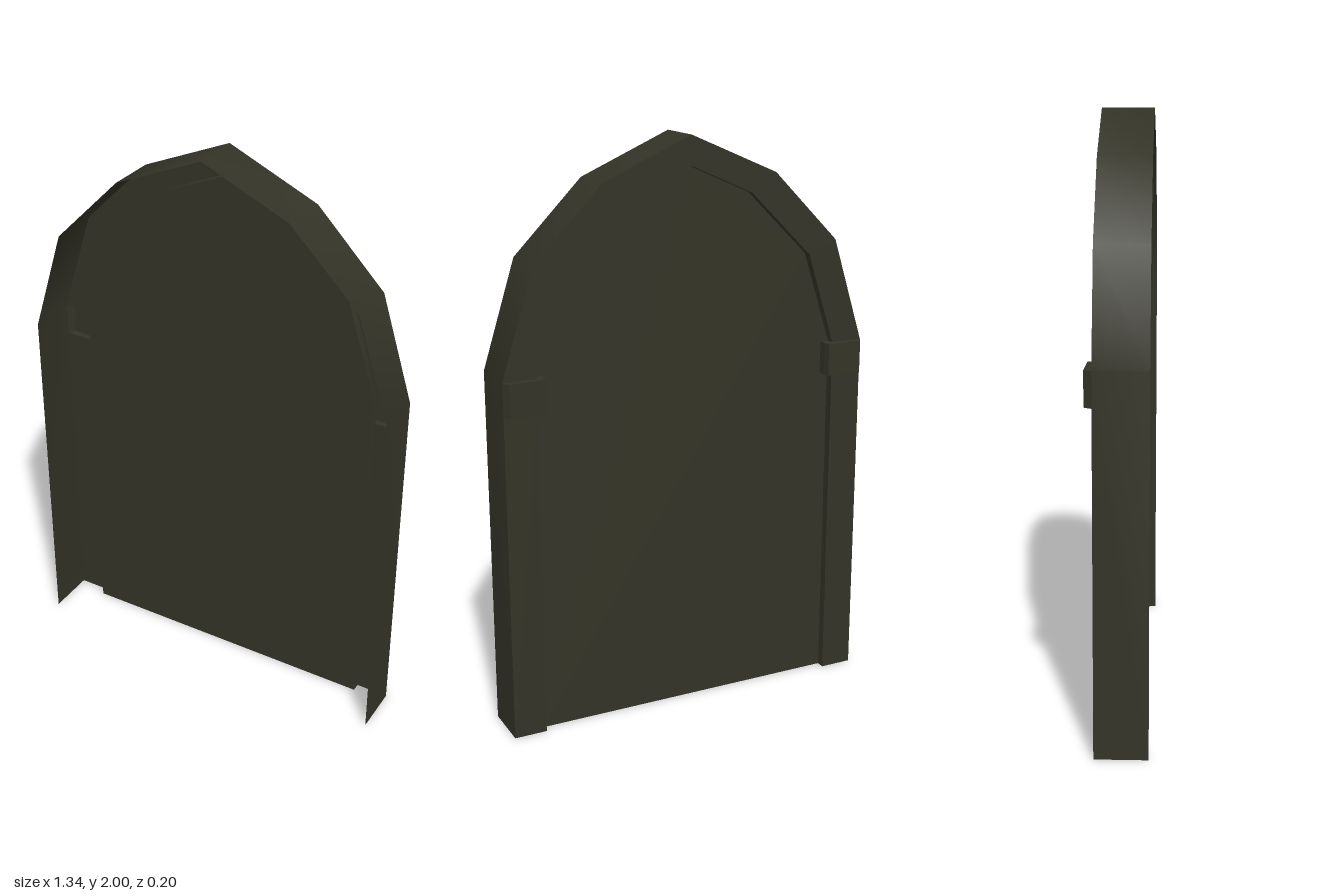
import * as THREE from 'three';

const WALL_FRONT = 0.1, FRAME_Z = -0.075, PANEL_Z = -0.045;
const BLOCK_BOTTOM = 1.14, SPRING = 1.255;

// Mirror a right-hand half outline (bottom to apex) into a full left-to-right path
function mirrorPath(half) {
  const left = half.map(([x, y]) => [-x, y]);
  return [...left, ...half.slice(0, -1).reverse()];
}

const outerArch = [[0.67, SPRING], [0.555, 1.62], [0.315, 1.863], [0, 2]];
const innerArch = [[0.555, SPRING], [0.452, 1.575], [0.225, 1.8], [0, 1.9]];
const at = (path, z) => path.map(([x, y]) => [x, y, z]);

// Surface strip between two matching rows of points
function strip(a, b) {
  const positions = [], index = [];
  a.forEach((p, i) => {
    positions.push(...p, ...b[i]);
    if (i < a.length - 1) {
      const k = 2 * i;
      index.push(k, k + 1, k + 2, k + 1, k + 3, k + 2);
    }
  });
  const g = new THREE.BufferGeometry();
  g.setAttribute('position', new THREE.Float32BufferAttribute(positions, 3));
  g.setIndex(index);
  g.computeVertexNormals();
  return g;
}

export function createModel() {
  const group = new THREE.Group();
  group.name = 'archedDoorway';
  const stone = new THREE.MeshStandardMaterial({ color: 0x333327, side: THREE.DoubleSide });
  stone.name = 'darkOlive';

  const add = (name, geometry, parent = group) => {
    const mesh = new THREE.Mesh(geometry, stone);
    mesh.name = name;
    parent.add(mesh);
    return mesh;
  };

  // Outer wall, open at the front and bottom
  const outer = mirrorPath([[0.67, 0], ...outerArch]);
  const inner = mirrorPath([[0.555, 0], ...innerArch]);
  add('outerWall', strip(at(outer, FRAME_Z), at(outer, WALL_FRONT)));

  // Arched frame face and the shallow step down to the panel
  add('archFace', strip(at(mirrorPath(innerArch), FRAME_Z), at(mirrorPath(outerArch), FRAME_Z)));
  add('reveal', strip(at(inner, PANEL_Z), at(inner, FRAME_Z)));

  // Recessed panel
  const panel = new THREE.Shape(inner.map(([x, y]) => new THREE.Vector2(x, y)));
  add('panel', new THREE.ShapeGeometry(panel).translate(0, 0, PANEL_Z));

  // Hollow impost block profile in x and z, starting at the outer wall
  const profile = [[0.67, FRAME_Z], [0.655, -0.1], [0.53, -0.095], [0.525, FRAME_Z], [0.525, PANEL_Z]];
  const capOutline = [...profile, [0.555, PANEL_Z], [0.555, FRAME_Z]];

  for (const [label, s] of [['left', 1], ['right', -1]]) {
    // Straight post below the block
    const post = [[s * 0.555, s * 0.67], [s * 0.67, s * 0.555]][s > 0 ? 1 : 0];
    const edge = (x) => [[x, 0, FRAME_Z], [x, BLOCK_BOTTOM, FRAME_Z]];
    add(label + 'Post', s > 0 ? strip(edge(post[1]), edge(post[0])).scale(1, 1, 1)
      : strip(edge(-0.555), edge(-0.67)));

    // Block: separate flat faces around the profile, plus top and bottom caps
    const block = new THREE.Group();
    block.name = label + 'ImpostBlock';
    group.add(block);
    for (let i = 0; i < profile.length - 1; i++) {
      const row = (y) => [profile[i], profile[i + 1]].map(([x, z]) => [s * x, y, z]);
      add('blockSide', s > 0 ? strip(row(BLOCK_BOTTOM), row(SPRING))
        : strip(row(SPRING), row(BLOCK_BOTTOM)), block);
    }
    const cap = new THREE.Shape(capOutline.map(([x, z]) => new THREE.Vector2(s * x, -z)));
    for (const y of [BLOCK_BOTTOM, SPRING]) {
      const g = new THREE.ShapeGeometry(cap).rotateX(-Math.PI / 2).translate(0, y, 0);
      add(y === SPRING ? 'blockTop' : 'blockBottom', g, block);
    }
  }
  return group;
}
